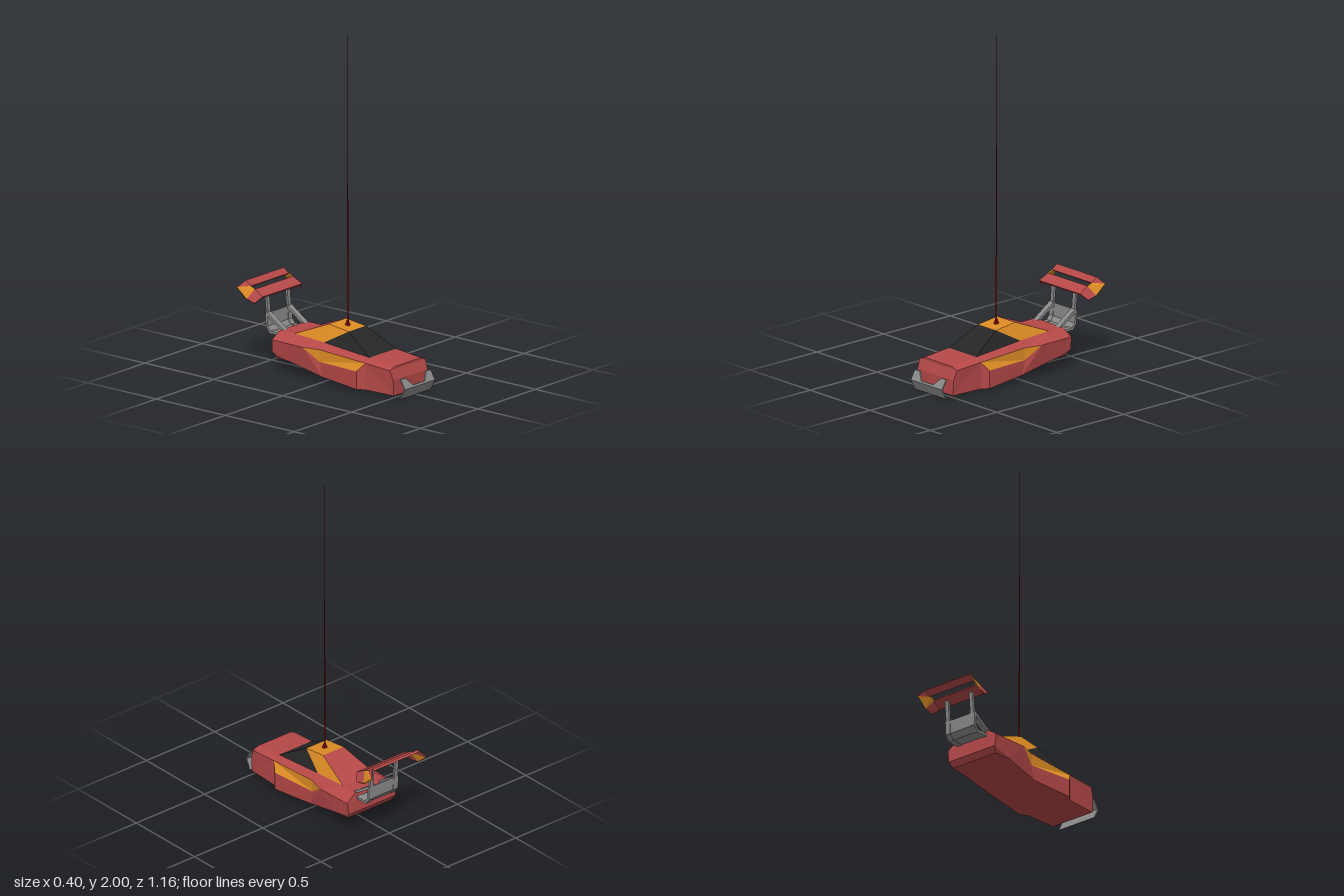
import * as THREE from 'three';
import { ConvexGeometry } from 'three/addons/geometries/ConvexGeometry.js';

const paint = (color) => new THREE.MeshStandardMaterial({ color, flatShading: true });
const RED = paint(0xb54848), ORANGE = paint(0xdd8c24), BLACK = paint(0x262626);
const GREY = paint(0x8a8a8a), DARK_RED = paint(0x7a0c0c);

const flip = ([x, y, z]) => [-x, y, z];
const V = (p) => new THREE.Vector3(...p);

export function createModel() {
  const model = new THREE.Group();

  const add = (name, geometry, material, parent = model) => {
    const mesh = new THREE.Mesh(geometry, material);
    mesh.name = name;
    parent.add(mesh);
    return mesh;
  };

  // Flat polygons, fanned into triangles that all face away from the car's core
  const panels = (name, material, polygons) => {
    const core = new THREE.Vector3(0, 0.13, 0), pos = [];
    for (const poly of polygons) {
      for (let i = 1; i < poly.length - 1; i++) {
        const [a, b, c] = [poly[0], poly[i], poly[i + 1]].map(V);
        const normal = b.clone().sub(a).cross(c.clone().sub(a));
        const out = a.clone().add(b).add(c).divideScalar(3).sub(core);
        const tri = normal.dot(out) < 0 ? [a, c, b] : [a, b, c];
        tri.forEach((p) => pos.push(p.x, p.y, p.z));
      }
    }
    const geometry = new THREE.BufferGeometry();
    geometry.setAttribute('position', new THREE.Float32BufferAttribute(pos, 3));
    geometry.computeVertexNormals();
    add(name, geometry, material);
  };
  const both = (...polys) => polys.flatMap((p) => [p, p.map(flip)]);
  const across = (...pts) => pts.slice(1).map((p, i) => [pts[i], p, flip(p), flip(pts[i])]);

  // Thin plate: convex outline given a thickness
  const plate = (name, material, pts, [dx, dy, dz]) =>
    add(name, new ConvexGeometry(pts.flatMap((p) => [V(p), V([p[0] + dx, p[1] + dy, p[2] + dz])])), material);
  const plates = (name, material, pts, d) => {
    plate(name + 'Left', material, pts, d);
    plate(name + 'Right', material, pts.map(flip), flip(d));
  };

  // Left-hand corner points of the body, nose to tail
  const A0 = [0.145, 0.02, 0.51], A1 = [0.15, 0.11, 0.51], A2 = [0.155, 0.165, 0.49], A3 = [0.115, 0.18, 0.49];
  const B0 = [0.155, 0.02, 0.31], B2 = [0.155, 0.175, 0.31], B3 = [0.115, 0.198, 0.31];
  const C0 = [0.182, 0.02, 0.27], C1 = [0.182, 0.125, 0.27];
  const D0 = [0.155, 0.035, 0], D1 = [0.155, 0.12, -0.02], D2 = [0.155, 0.19, -0.02], D3 = [0.115, 0.224, -0.02];
  const E2 = [0.185, 0.192, -0.12];
  const F0 = [0.168, 0.085, -0.23], H3 = [0.115, 0.235, -0.235];
  const G0 = [0.155, 0.085, -0.33], G1 = [0.17, 0.12, -0.352], G2 = [0.178, 0.192, -0.348], G3 = [0.115, 0.235, -0.34];
  const roofFront = [0.075, 0.305, 0.125], roofRear = [0.075, 0.322, -0.02];

  panels('bodyShell', RED, [
    ...across(H3, G3, G2, G1, G0, F0, D0, C0, B0, A0, A1, A2, A3, B3),
    ...both(
      [A0, B0, B2, A2, A1], [B0, C0, C1, B2], [C0, D0, D1, C1],
      [D0, F0, E2, D1], [F0, G0, G1, G2, E2],
      [A2, B2, B3, A3], [B2, D2, D3, B3], [D2, E2, H3, D3], [E2, G2, G3, H3],
    ),
  ]);
  panels('sideScoops', ORANGE, both([B2, C1, D1, D2], [D2, D1, E2]));

  // Cabin
  panels('windows', BLACK, [...across(B3, roofFront), ...both([B3, D3, roofFront])]);
  panels('roofAndPillars', ORANGE, [
    ...across(roofFront, roofRear),
    ...both([roofFront, D3, roofRear], [roofRear, D3, H3]),
  ]);
  panels('engineCover', RED, across(roofRear, H3));

  // Aerial
  const base = add('aerialBase', new THREE.CylinderGeometry(0.006, 0.016, 0.03, 4, 1, false, Math.PI / 4), DARK_RED);
  base.position.set(0, 0.326, 0.055);
  const rod = add('aerialRod', new THREE.CylinderGeometry(0.002, 0.005, 1.67, 4), DARK_RED);
  rod.position.set(0, 1.165, 0.055);

  // Front bumper: full lower plate, upper plate cut away in the middle
  const back = [0, 0, -0.008];
  plate('bumperLower', GREY, [[-0.13, 0.005, 0.55], [0.13, 0.005, 0.55], [0.13, 0.065, 0.58], [-0.13, 0.065, 0.58]], back);
  plate('bumperUpperMiddle', GREY, [[-0.13, 0.065, 0.58], [0.13, 0.065, 0.58], [0.13, 0.075, 0.574], [-0.13, 0.075, 0.574]], back);
  plates('bumperUpperEnd', GREY, [[0.05, 0.075, 0.574], [0.13, 0.075, 0.574], [0.13, 0.118, 0.549], [0.09, 0.118, 0.549]], back);

  // Bars between two points of the side plane, spanning x0 to x1
  const bar = (name, [z0, y0], [z1, y1], x0, x1, thick) => {
    const length = Math.hypot(z1 - z0, y1 - y0);
    const geometry = new THREE.BoxGeometry(x1 - x0, thick, length + thick * 0.5);
    const mesh = add(name, geometry, GREY);
    mesh.position.set((x0 + x1) / 2, (y0 + y1) / 2, (z0 + z1) / 2);
    mesh.rotation.x = -Math.atan2(y1 - y0, z1 - z0);
  };
  for (const [side, x0, x1] of [['Left', 0.073, 0.107], ['Right', -0.107, -0.073]]) {
    bar('diagonalStrut' + side, [-0.315, 0.222], [-0.445, 0.31], x0, x1, 0.016);
    bar('lowerStrut' + side, [-0.33, 0.205], [-0.42, 0.205], x0, x1, 0.014);
    bar('cornerStrut' + side, [-0.42, 0.205], [-0.443, 0.235], x0, x1, 0.014);
    bar('rearStrut' + side, [-0.443, 0.235], [-0.446, 0.31], x0, x1, 0.014);
    bar('wingStrut' + side, [-0.446, 0.31], [-0.457, 0.43], x0 + (x0 > 0 ? 0.004 : 0.006), x1 - (x0 > 0 ? 0.006 : 0.004), 0.014);
  }
  // Bent plate between the struts
  bar('rearPlateFloor', [-0.34, 0.205], [-0.42, 0.205], -0.073, 0.073, 0.008);
  bar('rearPlateCorner', [-0.42, 0.205], [-0.443, 0.235], -0.073, 0.073, 0.008);
  bar('rearPlateUpright', [-0.443, 0.235], [-0.446, 0.31], -0.073, 0.073, 0.008);

  // Rear wing: two slats with flared, drooping ends
  const P0 = [0.172, 0.425, -0.42], P1 = [0.165, 0.458, -0.48], P2 = [0.165, 0.47, -0.51], P3 = [0.165, 0.497, -0.547];
  const O0 = [0.2, 0.388, -0.455], O1 = [0.2, 0.402, -0.513], O2 = [0.2, 0.458, -0.582];
  const under = [0, -0.01, -0.006];
  plate('wingFrontSlat', RED, [P0, P1, flip(P1), flip(P0)], under);
  plate('wingRearSlat', RED, [P2, P3, flip(P3), flip(P2)], [0, -0.01, -0.012]);
  plates('wingFrontTip', RED, [P0, P1, O1, O0], [-0.004, -0.006, -0.003]);
  plates('wingEndPlate', ORANGE, [P1, P2, O2, O1], [-0.004, -0.006, -0.003]);
  plates('wingRearTip', RED, [P2, P3, O2], [-0.004, -0.006, -0.003]);

  return model;
}
